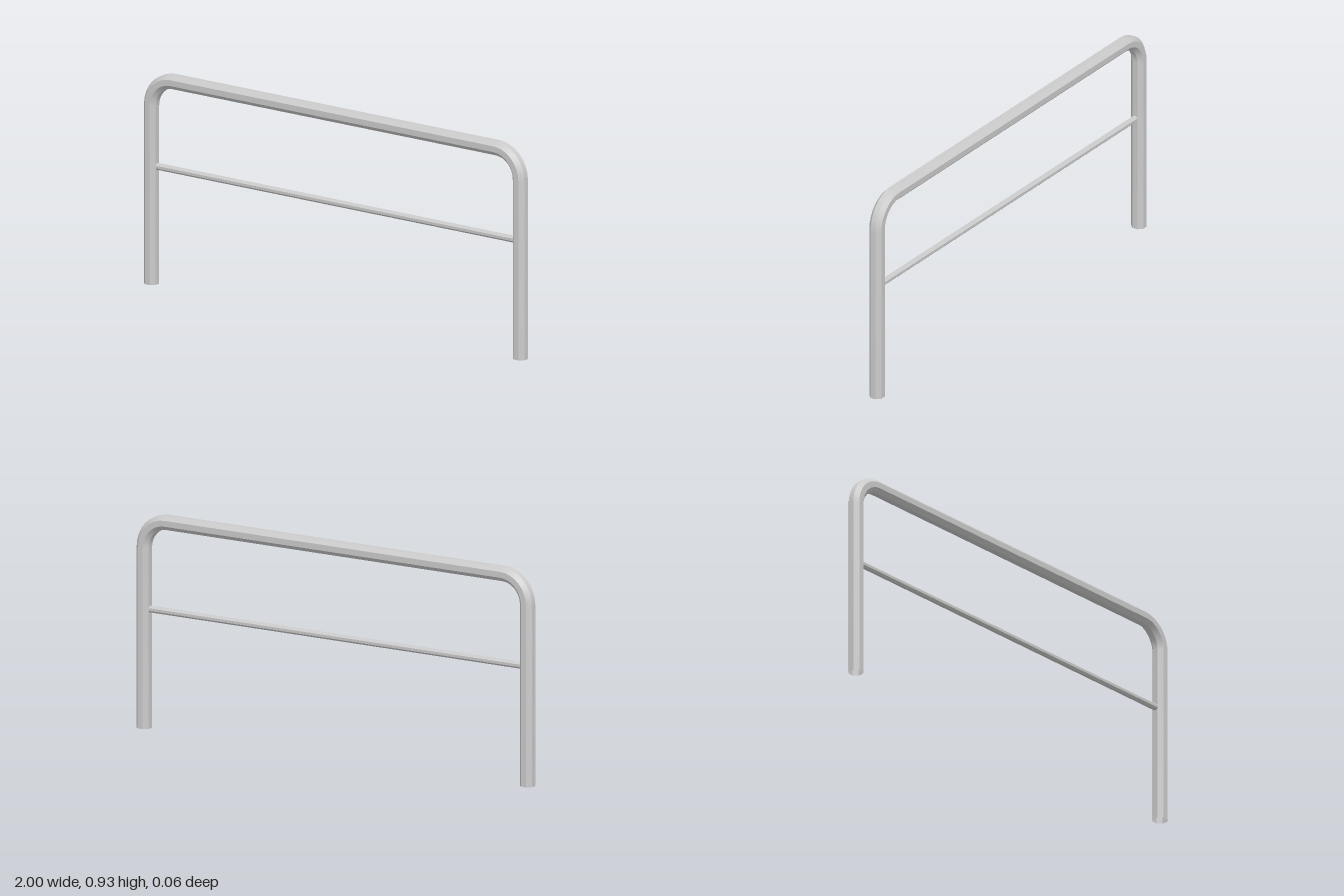
import * as THREE from 'three';
import { toCreasedNormals } from 'three/addons/utils/BufferGeometryUtils.js';

const SIDES = 8;

// Sweeps an octagon (flats facing the axes) along a path in the xy plane.
// Each station is [x, y, tangent angle]; the ends stay open.
function sweep(stations, apothem) {
  const r = apothem / Math.cos(Math.PI / SIDES);
  const pos = [], index = [];
  for (const [x, y, t] of stations) {
    for (let j = 0; j < SIDES; j++) {
      const a = ((j + 0.5) / SIDES) * Math.PI * 2;
      const n = r * Math.cos(a);
      pos.push(x - Math.sin(t) * n, y + Math.cos(t) * n, r * Math.sin(a));
    }
  }
  for (let i = 0; i < stations.length - 1; i++) {
    for (let j = 0; j < SIDES; j++) {
      const k = (j + 1) % SIDES;
      const a = i * SIDES + j, b = i * SIDES + k;
      const c = a + SIDES, d = b + SIDES;
      index.push(a, b, c, b, d, c);
    }
  }
  const g = new THREE.BufferGeometry();
  g.setAttribute('position', new THREE.Float32BufferAttribute(pos, 3));
  g.setIndex(index);
  return toCreasedNormals(g, Math.PI / 6);
}

export function createModel() {
  const group = new THREE.Group();
  group.name = 'hoopBarrier';
  const material = new THREE.MeshStandardMaterial({ color: 0xcccccc, side: THREE.DoubleSide });

  // Bent frame: left foot, two rounded corners, right foot
  const apothem = 0.0305, halfWidth = 1 - apothem, top = 0.925 - apothem;
  const bend = 0.12, steps = 8;
  const path = [[-halfWidth, 0, Math.PI / 2]];
  for (const side of [-1, 1]) {
    for (let i = 0; i <= steps; i++) {
      const t = (side < 0 ? 1 - i / steps : -i / steps) * Math.PI / 2;
      path.push([
        side * (halfWidth - bend) - bend * Math.sin(t),
        top - bend + bend * Math.cos(t),
        t,
      ]);
    }
  }
  path.push([halfWidth, 0, -Math.PI / 2]);
  const frame = new THREE.Mesh(sweep(path, apothem), material);
  frame.name = 'bentFrame';
  group.add(frame);

  // Thin rail between the legs
  const rail = new THREE.Mesh(sweep([[-0.945, 0.512, 0], [0.945, 0.512, 0]], 0.0135), material);
  rail.name = 'crossRail';
  group.add(rail);

  return group;
}
